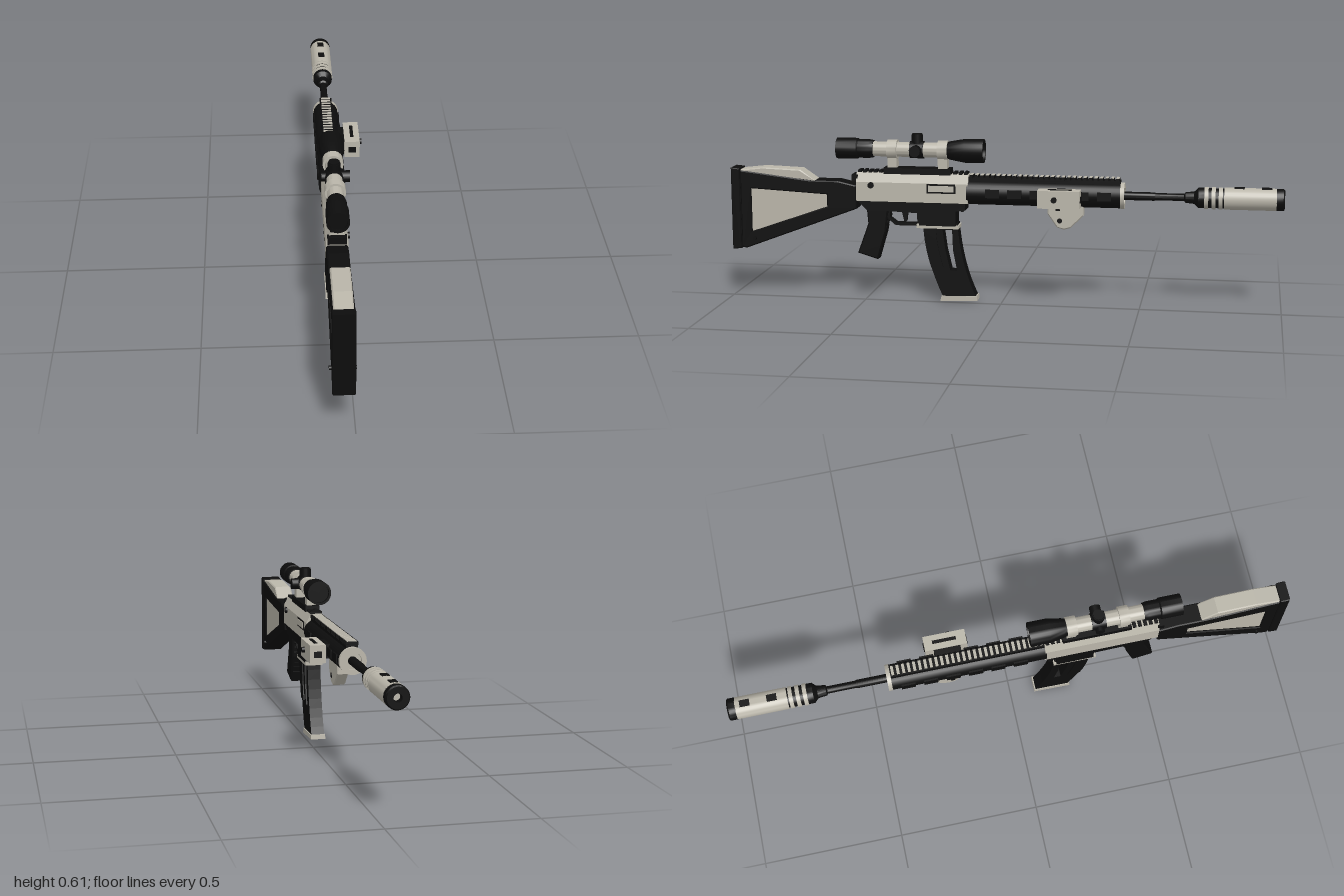
import * as THREE from 'three';
import { toCreasedNormals } from 'three/addons/utils/BufferGeometryUtils.js';

const black = new THREE.MeshStandardMaterial({ color: 0x0d0d0d });
black.name = 'black polymer';
const light = new THREE.MeshStandardMaterial({ color: 0xbab6aa });
light.name = 'pale grey metal';

export function createModel() {
  const root = new THREE.Group();
  const rifle = new THREE.Group();
  rifle.name = 'rifle';
  rifle.position.x = -0.038; // the side box makes the whole off-centre
  root.add(rifle);

  function add(name, geo, mat) {
    const m = new THREE.Mesh(geo, mat);
    m.name = name;
    rifle.add(m);
    return m;
  }
  // box from its limits
  function box(name, mat, x0, x1, y0, y1, z0, z1) {
    const g = new THREE.BoxGeometry(x1 - x0, y1 - y0, z1 - z0);
    g.translate((x0 + x1) / 2, (y0 + y1) / 2, (z0 + z1) / 2);
    return add(name, g, mat);
  }
  // side outline of [z, y] points, extruded evenly across x
  const poly = (pts) => pts.map(([a, b]) => new THREE.Vector2(a, b));
  function side(name, mat, pts, half, hole, bevel = 0) {
    const s = new THREE.Shape(poly(pts));
    if (hole) s.holes.push(new THREE.Path(poly(hole)));
    const depth = 2 * (half - bevel);
    const g = new THREE.ExtrudeGeometry(s, {
      depth, bevelEnabled: bevel > 0, bevelThickness: bevel, bevelSize: bevel, bevelOffset: -bevel, bevelSegments: 1,
    });
    g.translate(0, 0, -depth / 2);
    g.rotateY(-Math.PI / 2);
    return add(name, g, mat);
  }
  // body turned about z from [radius, z] points, z ascending
  function turned(name, mat, pts, y, seg = 28) {
    const g = new THREE.LatheGeometry(poly(pts), seg);
    g.rotateX(Math.PI / 2);
    g.translate(0, y, 0);
    return add(name, toCreasedNormals(g, 0.6), mat);
  }
  const tube = (name, mat, r, z0, z1, y) => turned(name, mat, [[0, z0], [r, z0], [r, z1], [0, z1]], y);
  // short cylinder across x
  function pin(name, mat, r, x0, x1, y, z) {
    const g = new THREE.CylinderGeometry(r, r, x1 - x0, 18);
    g.rotateZ(Math.PI / 2);
    g.translate((x0 + x1) / 2, y, z);
    return add(name, g, mat);
  }
  // points along a quadratic curve
  const curve = (a, b, c, n = 8) =>
    new THREE.QuadraticBezierCurve(...poly([a, b, c])).getPoints(n).map((p) => [p.x, p.y]);

  // stock: open frame with a recessed panel
  side('stockFrame', black,
    [[0.53, 0.335], [0.945, 0.178], [0.965, 0.178], [0.965, 0.465], [0.93, 0.462], [0.70, 0.435], [0.60, 0.435], [0.53, 0.42]],
    0.036, [[0.64, 0.34], [0.64, 0.385], [0.925, 0.40], [0.925, 0.24]], 0.004);
  side('stockPanel', light, [[0.63, 0.335], [0.935, 0.23], [0.935, 0.405], [0.63, 0.39]], 0.029);
  side('buttPad', black, [[0.967, 0.175], [1, 0.172], [1, 0.475], [0.967, 0.472]], 0.037, null, 0.003);
  side('buttPadCore', black, [[0.96, 0.18], [0.97, 0.18], [0.97, 0.465], [0.96, 0.465]], 0.031);
  side('cheekRest', light, [[0.68, 0.432], [0.965, 0.462], [0.965, 0.468], [0.88, 0.478], [0.74, 0.473]], 0.032, null, 0.004);
  pin('slingPin', black, 0.007, -0.044, 0.044, 0.215, 0.915);

  // upper receiver with chamfered top
  const section = new THREE.Shape(poly(
    [[-0.037, 0.365], [0.037, 0.365], [0.037, 0.435], [0.022, 0.468], [-0.022, 0.468], [-0.037, 0.435]]));
  const receiver = new THREE.ExtrudeGeometry(section, { depth: 0.41, bevelEnabled: false });
  receiver.translate(0, 0, 0.12);
  add('upperReceiver', receiver, light);
  box('portFrame', black, 0.03, 0.0385, 0.400, 0.434, 0.165, 0.27);
  box('portCover', light, 0.03, 0.0405, 0.406, 0.428, 0.171, 0.264);
  pin('receiverPin', black, 0.011, 0.03, 0.044, 0.424, 0.475);
  box('chargingHandle', black, -0.032, 0.032, 0.435, 0.46, 0.525, 0.548);

  // lower receiver
  side('lowerReceiver', black,
    [[0.53, 0.368], [0.49, 0.33], [0.42, 0.33], [0.30, 0.325], [0.30, 0.28], [0.165, 0.28], [0.165, 0.335], [0.13, 0.34], [0.13, 0.368]],
    0.033);
  pin('takedownPin', black, 0.01, -0.038, 0.038, 0.345, 0.14);
  box('magazineWellRim', light, -0.032, 0.032, 0.27, 0.283, 0.155, 0.31);
  side('triggerGuard', black,
    [[0.30, 0.275], [0.39, 0.275], [0.42, 0.30], [0.42, 0.335], [0.30, 0.335]], 0.014,
    [[0.31, 0.285], [0.31, 0.325], [0.41, 0.325], [0.41, 0.302], [0.387, 0.285]]);
  side('trigger', black, [[0.345, 0.33], [0.35, 0.29], [0.36, 0.29], [0.37, 0.33]], 0.006);

  // grip with finger ridges down its front
  side('grip', black,
    [[0.495, 0.34], [0.49, 0.28], [0.53, 0.17], [0.455, 0.148], [0.44, 0.20], [0.425, 0.25], [0.415, 0.34]], 0.027, null, 0.005);
  for (let i = 0; i < 7; i++) {
    const z = 0.416 + i * 0.0055, y = 0.30 - i * 0.02;
    side('gripRidge', black, [[z + 0.03, y + 0.006], [z + 0.03, y - 0.007], [z - 0.006, y + 0.006], [z - 0.006, y + 0.013]], 0.02);
  }

  // curved magazine with a slot through its side
  const rear = curve([0.285, 0.29], [0.285, 0.17], [0.215, 0.018]);
  const front = curve([0.092, 0.018], [0.15, 0.14], [0.16, 0.29]);
  side('magazine', black, [...rear, ...front], 0.024,
    [[0.215, 0.265], [0.18, 0.265], [0.177, 0.19], [0.162, 0.115], [0.187, 0.115], [0.205, 0.19]]);
  side('magazineRearRib', black,
    [...rear.slice(0, 6), ...rear.slice(0, 6).reverse().map(([z, y]) => [z - 0.045, y])], 0.028);
  side('magazineBase', light, [[0.225, 0], [0.22, 0.02], [0.09, 0.023], [0.088, 0.006]], 0.027);

  // handguard
  const axis = 0.404;
  tube('handguard', black, 0.045, -0.428, 0.125, axis);
  turned('handguardEndRing', light,
    [[0.015, -0.43], [0.03, -0.43], [0.03, -0.44], [0.047, -0.44], [0.047, -0.426], [0.03, -0.426]], axis);
  for (const s of [-1, 1]) for (let i = 0; i < 6; i++) {
    const z = 0.03 - i * 0.08;
    box('handguardRib', black, s * 0.044 - 0.004, s * 0.044 + 0.004, 0.39, 0.42, z - 0.025, z + 0.025);
  }

  // toothed top rail
  box('railBase', black, -0.02, 0.02, 0.44, 0.459, -0.425, 0.125);
  for (let i = 0; i < 28; i++) {
    const z = 0.11 - i * 0.0195;
    box('railTooth', black, -0.022, 0.022, 0.455, 0.467, z - 0.006, z + 0.006);
    box('railToothCap', light, -0.017, 0.017, 0.467, 0.469, z - 0.005, z + 0.005);
  }
  for (let i = 0; i < 21; i++) {
    const z = 0.52 - i * 0.0195;
    box('receiverRailTooth', black, -0.022, 0.022, 0.465, 0.476, z - 0.006, z + 0.006);
  }

  // barrel and suppressor
  turned('barrel', black, [[0, -0.72], [0.036, -0.72], [0.036, -0.70], [0.022, -0.685], [0.019, -0.655], [0.013, -0.65],
    [0.013, -0.55], [0.015, -0.545], [0.015, -0.42]], axis);
  tube('suppressorCore', black, 0.035, -0.97, -0.70, axis);
  turned('suppressorBody', light, [[0.03, -0.972], [0.039, -0.972], [0.039, -0.79], [0.03, -0.79]], axis);
  for (const z of [-0.778, -0.753, -0.728]) {
    turned('suppressorRing', light, [[0.03, z - 0.007], [0.039, z - 0.007], [0.039, z + 0.007], [0.03, z + 0.007]], axis);
  }
  turned('muzzleCap', black,
    [[0, -0.975], [0.014, -0.975], [0.014, -1], [0.035, -1], [0.039, -0.995], [0.039, -0.971], [0, -0.971]], axis);
  tube('bore', light, 0.012, -0.978, -0.97, axis);
  for (const [z0, z1] of [[-0.955, -0.92], [-0.86, -0.825]]) {
    box('suppressorSlot', black, -0.012, 0.012, axis + 0.03, axis + 0.0405, z0, z1);
  }

  // scope
  const sy = 0.552;
  turned('scopeTube', light, [[0, 0.17], [0.027, 0.17], [0.027, 0.49], [0, 0.49]], sy);
  turned('scopeFrontBell', black,
    [[0, 0.078], [0.035, 0.078], [0.035, 0.066], [0.043, 0.066], [0.043, 0.135], [0.034, 0.185], [0.03, 0.20], [0, 0.20]], sy);
  turned('scopeEyepiece', black,
    [[0, 0.47], [0.031, 0.47], [0.034, 0.485], [0.034, 0.525], [0.038, 0.53], [0.038, 0.605], [0.031, 0.605], [0.031, 0.592], [0, 0.592]], sy);
  for (const z of [0.40, 0.215]) {
    tube('scopeRing', light, 0.035, z - 0.018, z + 0.018, sy);
    box('scopeMount', light, -0.018, 0.018, 0.482, 0.53, z - 0.017, z + 0.017);
  }
  box('scopeBase', black, -0.026, 0.026, 0.465, 0.487, 0.185, 0.43);
  tube('turretCollar', black, 0.031, 0.285, 0.335, sy);
  const knob = new THREE.CylinderGeometry(0.021, 0.021, 0.035, 20);
  knob.translate(0, 0.588, 0.31);
  add('topTurret', knob, black);
  const knobCap = new THREE.CylinderGeometry(0.019, 0.019, 0.005, 20);
  knobCap.translate(0, 0.608, 0.31);
  add('topTurretCap', knobCap, black);
  pin('sideTurret', black, 0.02, 0.02, 0.053, sy, 0.31);
  pin('focusTurret', black, 0.016, -0.043, -0.02, sy, 0.31);

  // side box on its bracket
  box('boxBracket', black, 0.03, 0.06, 0.38, 0.43, -0.26, -0.165);
  box('sideBox', light, 0.058, 0.113, 0.37, 0.433, -0.29, -0.14);
  box('boxRearWindow', black, 0.073, 0.1, 0.39, 0.411, -0.145, -0.137);
  box('boxFrontWindow', black, 0.073, 0.1, 0.39, 0.411, -0.293, -0.285);
  box('boxTopStrip', black, 0.08, 0.092, 0.428, 0.435, -0.26, -0.175);
  pin('boxButton', black, 0.01, 0.11, 0.123, 0.402, -0.2);
  box('boxScrew', black, 0.092, 0.106, 0.362, 0.372, -0.22, -0.205);

  // hand stop under the handguard
  side('handStop', light,
    [[-0.165, 0.372], [-0.165, 0.335], [-0.20, 0.285], [-0.225, 0.278], [-0.25, 0.285], [-0.295, 0.33], [-0.295, 0.372]], 0.02, null, 0.004);
  pin('handStopBolt', black, 0.009, -0.0215, 0.0215, 0.31, -0.21);
  return root;
}
